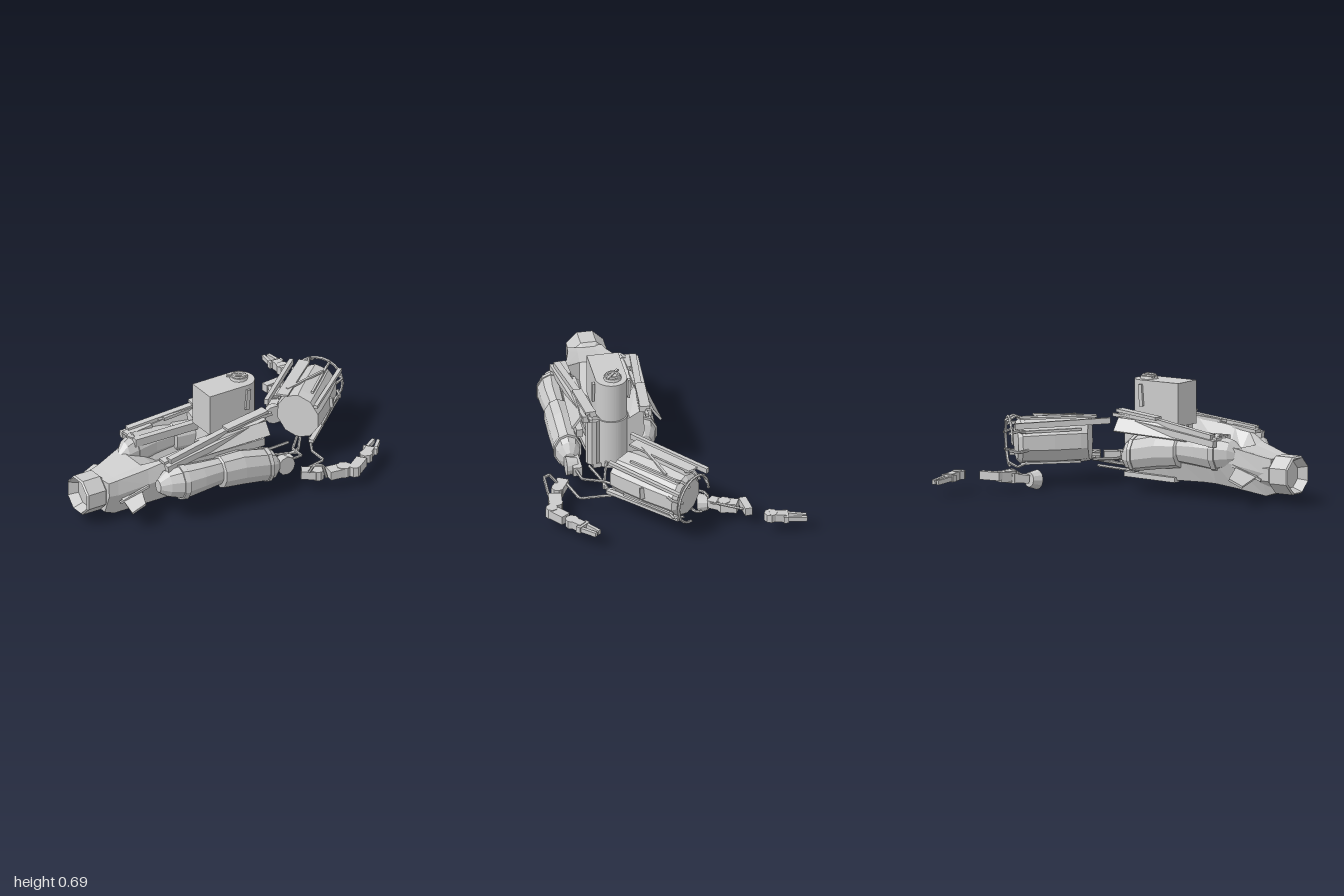
import * as THREE from 'three';

const mat = new THREE.MeshStandardMaterial({ color: 0xcccccc, flatShading: true, side: THREE.DoubleSide });
const V = (p) => new THREE.Vector3(...p);

export function createModel() {
  const root = new THREE.Group();

  const add = (name, geo, pos = [0, 0, 0], rot = [0, 0, 0], parent = root) => {
    const m = new THREE.Mesh(geo, mat);
    m.name = name;
    m.position.set(...pos);
    m.rotation.set(...rot);
    parent.add(m);
    return m;
  };
  // Skin joining closed cross-sections lying across x, with both ends capped
  const loft = (name, sections, parent = root) => {
    const n = sections[0].length, idx = [];
    for (let s = 0; s < sections.length - 1; s++)
      for (let i = 0; i < n; i++) {
        const a = s * n + i, b = s * n + (i + 1) % n;
        idx.push(a, a + n, b, b, a + n, b + n);
      }
    [0, sections.length - 1].forEach((s) => {
      const flat = sections[s].map((p) => new THREE.Vector2(p[2], p[1]));
      THREE.ShapeUtils.triangulateShape(flat, []).forEach(([a, b, c]) =>
        idx.push(s * n + a, s * n + (s ? b : c), s * n + (s ? c : b)));
    });
    const g = new THREE.BufferGeometry();
    g.setAttribute('position', new THREE.Float32BufferAttribute(sections.flat(2), 3));
    g.setIndex(idx);
    const flatGeo = g.toNonIndexed();
    flatGeo.computeVertexNormals();
    add(name, flatGeo, [0, 0, 0], [0, 0, 0], parent);
  };
  const ring = (x, y, z, ry, rz, n = 10) => Array.from({ length: n }, (_, i) => {
    const a = (i + 0.5) / n * Math.PI * 2;
    return [x, y + ry * Math.sin(a), z + rz * Math.cos(a)];
  });
  // Box stretched from a to b, in the parent's own frame
  const beam = (name, a, b, w, h, parent = root) => {
    const A = V(a), B = V(b);
    const m = add(name, new THREE.BoxGeometry(w, h, A.distanceTo(B)), A.clone().add(B).multiplyScalar(0.5).toArray(), [0, 0, 0], parent);
    m.quaternion.setFromRotationMatrix(new THREE.Matrix4().lookAt(B, A, V([0, 1, 0])));
  };
  const pipe = (name, pts, r, parent = root) => {
    const path = new THREE.CurvePath();
    for (let i = 1; i < pts.length; i++) path.add(new THREE.LineCurve3(V(pts[i - 1]), V(pts[i])));
    add(name, new THREE.TubeGeometry(path, (pts.length - 1) * 6, r, 6), [0, 0, 0], [0, 0, 0], parent);
  };

  // Hull: solid tail widening into an open tub
  // x, bottom y, bottom half width, top y, top half width, floor y
  const hull = [
    [-0.86, 0.06, 0.06, 0.27, 0.11, 0.265], [-0.8, 0.04, 0.07, 0.28, 0.12, 0.275],
    [-0.62, 0.08, 0.13, 0.325, 0.17, 0.315], [-0.5, 0.1, 0.16, 0.375, 0.22, 0.265],
    [-0.4, 0.1, 0.15, 0.395, 0.215, 0.2], [-0.14, 0.09, 0.13, 0.435, 0.2, 0.18],
    [-0.11, 0.09, 0.12, 0.44, 0.19, 0.36], [0.16, 0.09, 0.1, 0.44, 0.165, 0.4]];
  loft('hull', hull.map(([x, yb, hb, yt, ht, yf]) => {
    const ym = yb + (yt - yb) * 0.6;
    return [[-hb, yb], [hb, yb], [ht, ym], [ht * 0.94, yt], [ht * 0.84, yt], [ht * 0.45, yf],
      [-ht * 0.45, yf], [-ht * 0.84, yt], [-ht * 0.94, yt], [-ht, ym]].map(([z, y]) => [x, y, 0.23 + z]);
  }));

  // Tail nozzle: octagonal sleeve with a recessed end
  const nozzle = new THREE.LatheGeometry([[0, -0.03], [0.085, -0.03], [0.112, -0.09], [0.122, -0.08],
    [0.122, 0.04], [0.1, 0.06], [0.1, 0.13]].map((p) => new THREE.Vector2(...p)), 8, Math.PI / 8);
  add('tailNozzle', nozzle, [-0.91, 0.175, 0.205], [0, 0, -Math.PI / 2]);

  // Tail fins, broad at the root
  const finShape = new THREE.Shape([[-0.05, 0.06], [0.11, 0.06], [0.02, 0.29], [-0.08, 0.29]].map((p) => new THREE.Vector2(...p)));
  const finGeo = new THREE.ExtrudeGeometry(finShape, { depth: 0.015, bevelEnabled: false }).rotateX(Math.PI / 2);
  [['leftFin', 1], ['rightFin', -1]].forEach(([name, s]) => {
    add(name, finGeo, [-0.72, 0.2, 0.205], [s * 0.15, 0, 0.4]).scale.z = s;
  });

  // Tower: square at the rear, rounded at the front
  const stadium = (back, front, r) => {
    const s = new THREE.Shape();
    s.moveTo(back, -r);
    s.lineTo(front - r, -r);
    s.absarc(front - r, 0, r, -Math.PI / 2, Math.PI / 2, false);
    s.lineTo(back, r);
    return s;
  };
  const upright = (name, shape, h, y) => add(name,
    new THREE.ExtrudeGeometry(shape, { depth: h, bevelEnabled: false, curveSegments: 14 }).rotateX(-Math.PI / 2), [0, y, 0.258]);
  upright('tower', stadium(-0.16, 0.2, 0.095), 0.26, 0.4);
  upright('towerBase', stadium(0, 0.21, 0.1), 0.32, 0.09);
  add('frontColumn', new THREE.CylinderGeometry(0.045, 0.045, 0.3, 10), [0.14, 0.26, 0.375]);
  // Hatch on the roof
  add('roofHatch', new THREE.CylinderGeometry(0.05, 0.055, 0.02, 12), [0.11, 0.667, 0.25]);
  add('hatchRing', new THREE.TorusGeometry(0.035, 0.009, 6, 12), [0.11, 0.68, 0.25], [Math.PI / 2, 0, 0]);
  beam('hatchHandle', [0.05, 0.675, 0.21], [0.15, 0.683, 0.29], 0.015, 0.012);
  [0.365, 0.15].forEach((z) => {
    add('towerSidePlate', new THREE.BoxGeometry(0.025, 0.13, 0.015), [0.1, 0.57, z], [0, 0, -0.08]);
  });

  // Side pods: two bulging halves joined at a waist, the tail end bent inwards
  const podProfile = [[-0.6, 0.24, 0.04], [-0.55, 0.25, 0.085], [-0.46, 0.25, 0.11], [-0.34, 0.255, 0.097],
    [-0.21, 0.255, 0.085], [-0.2, 0.245, 0.105], [-0.06, 0.235, 0.112], [0.12, 0.2, 0.105], [0.17, 0.19, 0.09], [0.205, 0.18, 0.045]];
  [['leftPod', 0.525, 0, 0], ['rightPod', 0.06, -0.05, 0.035]].forEach(([name, z, dx, dy]) => {
    const pod = new THREE.Group();
    pod.name = name;
    pod.position.set(dx, dy, z);
    root.add(pod);
    const side = z > 0.3 ? 1 : -1;
    const bent = (x) => -side * Math.max(0, -0.42 - x) * 0.3;
    loft('podShell', podProfile.map(([x, y, r]) => ring(x, y, bent(x), r, r * 0.77)), pod);
    loft('podCollar', [-0.48, -0.45].map((x) => ring(x, 0.25, bent(x), 0.115, 0.089)), pod);
    loft('podBand', [0.11, 0.135].map((x) => ring(x, 0.2, 0, 0.112, 0.087)), pod);
    beam('podStrut', [-0.5, 0.33, -side * 0.07], [0.15, 0.32, -side * 0.07], 0.04, 0.05, pod);
  });

  // Sloping rails and plates along both rims
  [1, -1].forEach((s) => {
    const z = (d) => 0.235 + s * d;
    beam('upperRail', [-0.52, 0.385, z(0.23)], [0.2, 0.475, z(0.15)], 0.04, 0.035);
    beam('lowerRail', [-0.55, 0.35, z(0.25)], [0.18, 0.43, z(0.19)], 0.035, 0.04);
    beam('thinRail', [-0.3, 0.42, z(0.17)], [0.24, 0.455, z(0.17)], 0.02, 0.02);
    beam('railPlate', [-0.1, 0.46, z(0.19)], [0.2, 0.485, z(0.165)], 0.06, 0.018);
    beam('railTail', [-0.55, 0.375, z(0.2)], [-0.38, 0.395, z(0.2)], 0.06, 0.02);
    add('rimSkirt', new THREE.BoxGeometry(0.5, 0.015, 0.09), [-0.08, 0.395, z(0.225)], [s * 0.95, 0, 0.08]);
    beam('tailRod', [-0.8, 0.14, z(0.13)], [-0.62, 0.22, z(0.17)], 0.015, 0.015);
    beam('frontBumper', [-0.2, 0.095, z(0.14)], [0.18, 0.1, z(0.12)], 0.05, 0.03);
  });
  beam('rimFlap', [-0.55, 0.385, 0.06], [-0.5, 0.37, 0.13], 0.05, 0.012);

  // Detached drum lying at an angle, its axis built along local x
  const drum = new THREE.Group();
  drum.name = 'drum';
  drum.position.set(0.7, 0.265, 0.085);
  drum.rotation.set(0, 0.75, -0.03);
  root.add(drum);
  // The inner end is cut at a slant
  loft('drumShell', [[-0.23, 0.138, 0.25], [-0.17, 0.145, 0.1], [0, 0.148, 0], [0.19, 0.138, 0], [0.215, 0.115, 0]]
    .map(([x, r, slant]) => ring(x, 0, 0, r, r, 10).map(([px, y, z]) => [px - z * slant, y, z])), drum);
  add('drumEndRing', new THREE.TorusGeometry(0.15, 0.009, 5, 16, 4.6), [0.255, 0, 0], [0, Math.PI / 2, 0], drum);
  for (let i = 0; i < 8; i++) {
    const a = i / 8 * Math.PI * 2 + 0.3, c = Math.cos(a), s = Math.sin(a);
    if (i % 2) beam('drumRib', [-0.16, s * 0.15, c * 0.15], [0.2, s * 0.145, c * 0.145], 0.014, 0.014, drum);
    if (i !== 6) pipe('endClaw', [[0.16, s * 0.14, c * 0.14], [0.22, s * 0.165, c * 0.165], [0.27, s * 0.13, c * 0.13]], 0.009, drum);
  }
  // Torn panels and bars left on the drum
  beam('topPanel', [-0.26, 0.14, -0.09], [0.2, 0.145, -0.07], 0.07, 0.012, drum);
  beam('rearPanel', [-0.33, 0.12, -0.17], [0.24, 0.11, -0.16], 0.025, 0.035, drum);
  beam('frontPanel', [-0.28, 0.1, 0.12], [0.25, 0.09, 0.135], 0.025, 0.02, drum);
  beam('lowerPanel', [-0.3, -0.12, 0.1], [0.24, -0.09, 0.12], 0.03, 0.02, drum);
  beam('crossBar', [-0.18, 0.145, -0.08], [0.1, 0.145, 0.07], 0.015, 0.012, drum);
  beam('sidePatch', [-0.02, 0.04, 0.148], [-0.01, -0.03, 0.152], 0.03, 0.012, drum);

  // Bent pipes between hull and drum
  [[[0.18, 0.13, 0.3], [0.45, 0.11, 0.37], [0.53, 0.14, 0.27]],
    [[0.16, 0.09, 0.4], [0.3, 0.1, 0.37], [0.46, 0.12, 0.35]],
    [[0.23, 0.1, 0.235], [0.47, 0.11, 0.235]],
    [[0.36, 0.12, 0.58], [0.53, 0.11, 0.53], [0.53, 0.11, 0.4], [0.58, 0.14, 0.3]],
    [[0.3, 0.17, 0.51], [0.4, 0.16, 0.49], [0.42, 0.14, 0.36], [0.52, 0.14, 0.25]],
  ].forEach((p) => pipe('loosePipe', p, 0.009));

  // Arm pieces
  const link = (name, a, b, w, h, parent) => {
    beam(name, a, b, w, h, parent);
    const mid = a.map((v, i) => v + (b[i] - v) * 0.85);
    add('joint', new THREE.CylinderGeometry(w * 0.55, w * 0.55, h * 1.15, 8), mid, [0, 0, 0], parent);
  };
  const claw = (from, to, parent) => {
    const A = V(from), d = V(to).sub(A), side = new THREE.Vector3(d.z, 0, -d.x).normalize();
    const at = (t, o) => A.clone().addScaledVector(d, t).addScaledVector(side, o).toArray();
    beam('clawPalm', at(0, 0), at(0.45, 0), 0.055, 0.05, parent);
    add('clawWrist', new THREE.CylinderGeometry(0.04, 0.04, 0.05, 8), at(0.05, 0), [0, 0, 0], parent);
    beam('clawBar', at(0.45, -0.045), at(0.45, 0.045), 0.03, 0.04, parent);
    [-1, 1].forEach((s) => beam('clawFinger', at(0.45, s * 0.028), at(1, s * 0.016), 0.02, 0.028, parent));
  };

  const leftArm = new THREE.Group();
  leftArm.name = 'leftArm';
  root.add(leftArm);
  add('shoulderDisc', new THREE.CylinderGeometry(0.045, 0.058, 0.07, 12), [0.25, 0.165, 0.525], [-Math.PI / 2, 0, 0], leftArm);
  beam('shoulderBlock', [0.18, 0.17, 0.5], [0.32, 0.16, 0.5], 0.055, 0.06, leftArm);
  link('upperArm', [0.33, 0.11, 0.59], [0.43, 0.1, 0.65], 0.07, 0.05, leftArm);
  pipe('armHose', [[0.36, 0.12, 0.63], [0.36, 0.19, 0.68], [0.4, 0.2, 0.72], [0.44, 0.1, 0.7]], 0.01, leftArm);
  link('elbow', [0.47, 0.1, 0.67], [0.59, 0.1, 0.685], 0.08, 0.055, leftArm);
  link('forearm', [0.72, 0.1, 0.65], [0.61, 0.1, 0.73], 0.065, 0.055, leftArm);
  claw([0.76, 0.105, 0.63], [0.92, 0.105, 0.495], leftArm);

  const rightArm = new THREE.Group();
  rightArm.name = 'rightArm';
  root.add(rightArm);
  add('shoulderCup', new THREE.CylinderGeometry(0.045, 0.06, 0.06, 12), [0.64, 0.061, -0.195], [-1.5, 0, -0.3], rightArm);
  link('upperArm', [0.65, 0.07, -0.23], [0.72, 0.08, -0.31], 0.065, 0.05, rightArm);
  link('forearm', [0.76, 0.09, -0.38], [0.72, 0.085, -0.29], 0.07, 0.06, rightArm);
  beam('forearmTip', [0.72, 0.1, -0.415], [0.85, 0.1, -0.43], 0.045, 0.05, rightArm);
  pipe('armHose', [[0.68, 0.08, -0.23], [0.75, 0.12, -0.25], [0.78, 0.11, -0.32], [0.83, 0.11, -0.4]], 0.008, rightArm);
  claw([0.93, 0.11, -0.535], [0.95, 0.085, -0.76], rightArm);

  return root;
}
